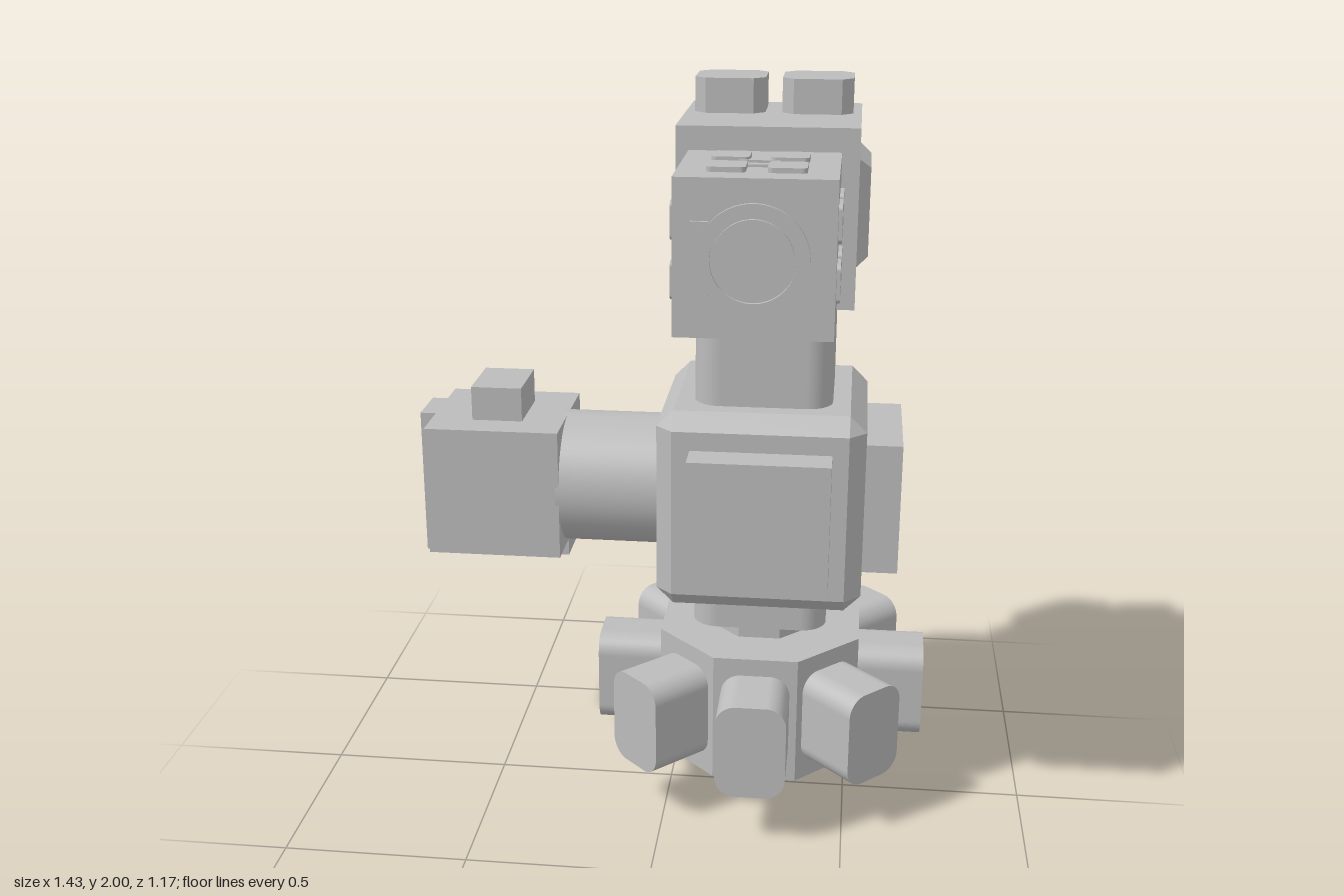
import * as THREE from 'three';
import { ConvexGeometry } from 'three/addons/geometries/ConvexGeometry.js';

const grey = new THREE.MeshStandardMaterial({ color: 0xbcbcbc });
grey.name = 'grey';
const CX = 0.25, CZ = -0.12; // column axis

function add(parent, name, geo, x = 0, y = 0, z = 0) {
  const m = new THREE.Mesh(geo, grey);
  m.name = name;
  m.position.set(x, y, z);
  parent.add(m);
  return m;
}

function pivot(parent, name, x, y, z, rx = 0, ry = 0, rz = 0) {
  const g = new THREE.Group();
  g.name = name;
  g.position.set(x, y, z);
  g.rotation.set(rx, ry, rz);
  parent.add(g);
  return g;
}

// box given by its extents
function block(parent, name, x0, x1, y0, y1, z0, z1) {
  return add(parent, name, new THREE.BoxGeometry(x1 - x0, y1 - y0, z1 - z0),
    (x0 + x1) / 2, (y0 + y1) / 2, (z0 + z1) / 2);
}

// rectangle with rounded (or cut) corners, extruded along +z
function slab(w, h, d, r, round = true) {
  const s = new THREE.Shape(), a = w / 2, b = h / 2;
  [[a, b, 0], [-a, b, 1], [-a, -b, 2], [a, -b, 3]].forEach(([x, y, k]) => {
    const sx = Math.sign(x), sy = Math.sign(y);
    if (round) {
      s.absarc(x - sx * r, y - sy * r, r, k * Math.PI / 2, (k + 1) * Math.PI / 2, false);
    } else {
      const p = [[x, y - sy * r], [x - sx * r, y]];
      if (k % 2) p.reverse();
      p.forEach(([u, v], i) => (k || i ? s.lineTo(u, v) : s.moveTo(u, v)));
    }
  });
  return new THREE.ExtrudeGeometry(s, { depth: d, bevelEnabled: false, curveSegments: 8 });
}

// flat-sided prism along y with a flat side towards +z
function prism(rTop, rBottom, h, n) {
  const g = new THREE.CylinderGeometry(rTop, rBottom, h, n).rotateY(Math.PI / n).toNonIndexed();
  g.computeVertexNormals();
  return g;
}

// tapered window bay rising along y, with a framed pane on each side
function cupola(parent, R, r, h, n) {
  const t = 0.01, c = Math.cos(Math.PI / n), s = Math.sin(Math.PI / n);
  add(parent, 'panes', prism(r - t, R - t, h, n), 0, h / 2, 0);
  const slope = Math.hypot(h, (R - r) * c), e = 0.018;
  const trapezoid = (Path, inset) => {
    const b = R * s - inset * 1.2, a = r * s - inset * 1.2, v = slope / 2 - inset;
    return new Path([[-b, -v], [b, -v], [a, v], [-a, v]].map(p => new THREE.Vector2(...p)));
  };
  const frame = trapezoid(THREE.Shape, 0);
  frame.holes.push(trapezoid(THREE.Path, e));
  const geo = new THREE.ExtrudeGeometry(frame, { depth: t, bevelEnabled: false }).translate(0, 0, -t);
  for (let i = 0; i < n; i++) {
    const side = pivot(parent, 'windowSide', 0, 0, 0, 0, i * 2 * Math.PI / n);
    add(side, 'windowFrame', geo, 0, h / 2, (R + r) * c / 2).rotation.x = -Math.atan2((R - r) * c, h);
  }
  add(parent, 'endCap', prism(r, r, 0.004, n), 0, h - 0.002, 0);
}

export function createModel() {
  const model = new THREE.Group();
  model.name = 'station';

  // base hub with eight radial pods and a window bay below
  const oct = 1 / Math.cos(Math.PI / 8);
  add(model, 'hub', prism(0.28 * oct, 0.28 * oct, 0.37, 8), CX, 0.285, CZ);
  const podGeo = slab(0.19, 0.27, 0.23, 0.055);
  for (let i = 0; i < 8; i++) {
    const arm = pivot(model, 'podMount', CX, 0.285, CZ, 0, i * Math.PI / 4);
    add(arm, 'pod', podGeo, 0, 0, 0.235);
  }
  cupola(pivot(model, 'bottomBay', CX, 0.1, CZ, Math.PI), 0.23 * oct, 0.13 * oct, 0.1, 8);
  add(model, 'neck', prism(0.14 * oct, 0.14 * oct, 0.06, 8), CX, 0.495, CZ);

  // rounded trunk on both sides of the middle node
  const trunk = (y0, y1) => {
    const g = slab(0.37, 0.37, y1 - y0, 0.07).rotateX(-Math.PI / 2);
    add(model, 'trunk', g, CX, y0, CZ);
  };
  trunk(0.52, 0.63);
  trunk(1.15, 1.46);

  // middle node: cube with chamfered edges
  const pts = [], H = 0.278, K = 0.233;
  for (const sx of [-1, 1]) for (const sy of [-1, 1]) for (const sz of [-1, 1])
    for (const [a, b, c] of [[H, K, K], [K, H, K], [K, K, H]])
      pts.push(new THREE.Vector3(a * sx, b * sy, c * sz));
  add(model, 'node', new ConvexGeometry(pts), CX, 0.888, CZ);
  block(model, 'frontHatch', 0.065, 0.44, 0.705, 1.07, 0.15, 0.25);

  // side hatch with a shallow pocket and bars
  const hatch = pivot(model, 'sideHatch', 0.52, 0.888, CZ, 0, Math.PI / 2);
  block(hatch, 'hatchBase', -0.185, 0.185, -0.183, 0.183, 0, 0.088);
  for (const s of [-1, 1]) {
    add(hatch, 'hatchRim', new THREE.BoxGeometry(0.044, 0.366, 0.02), s * 0.163, 0, 0.095);
    add(hatch, 'hatchRim', new THREE.BoxGeometry(0.282, 0.042, 0.02), 0, s * 0.162, 0.095);
  }
  [[-0.142, 0.142, 0.047, 0.068], [-0.064, -0.043, -0.142, 0.142], [0.043, 0.064, -0.142, 0.05],
    [-0.05, 0.05, -0.06, -0.038]].forEach(([x0, x1, y0, y1]) =>
    block(hatch, 'hatchBar', x0, x1, y0, y1, 0.08, 0.104));

  // hexagonal window bay at the back
  const bay = pivot(model, 'backBay', CX, 0.883, -0.39, -Math.PI / 2);
  const turned = pivot(bay, 'backBayBody', 0, 0, 0, 0, Math.PI / 6);
  add(turned, 'bayCollar', prism(0.225, 0.225, 0.055, 6), 0, 0.0275, 0);
  cupola(pivot(turned, 'bayWindows', 0, 0.055, 0), 0.225, 0.155, 0.09, 6);

  // side arm with an end block
  add(model, 'sideArm', new THREE.CylinderGeometry(0.184, 0.184, 0.3, 48).rotateZ(Math.PI / 2), -0.165, 0.888, CZ);
  block(model, 'armBlock', -0.675, -0.305, 0.705, 1.07, -0.307, 0.062);
  block(model, 'armStrap', -0.72, -0.305, 0.655, 1.069, -0.217, -0.077);
  block(model, 'armKnob', -0.56, -0.42, 1.06, 1.165, -0.217, -0.03);

  // head with cut-corner pods on top and back
  block(model, 'head', 0.022, 0.482, 1.45, 1.91, -0.35, 0.11);
  for (const x of [0.138, 0.367]) {
    add(model, 'topPod', slab(0.185, 0.185, 0.1, 0.03, false).rotateX(-Math.PI / 2), x, 1.9, -0.212);
    add(model, 'backPod', slab(0.185, 0.32, 0.1, 0.03, false), x, 1.68, -0.445);
  }
  // raised bevelled side panel
  const panel = [];
  for (const s of [-1, 1]) for (const t of [-1, 1])
    panel.push(new THREE.Vector3(0, s * 0.14, t * 0.14), new THREE.Vector3(0.03, s * 0.115, t * 0.118));
  add(model, 'sidePanel', new ConvexGeometry(panel), 0.481, 1.68, CZ);

  // forward module with studs on four sides
  const round = (r, d) => new THREE.CylinderGeometry(r, r, d, 48).rotateX(Math.PI / 2);
  add(model, 'frontNeck', round(0.14, 0.12), CX, 1.68, 0.157);
  block(model, 'frontModule', 0.065, 0.438, 1.495, 1.865, 0.205, 0.575);
  const stud = slab(0.09, 0.09, 0.02, 0.012);
  for (let k = 0; k < 4; k++) {
    const side = pivot(model, 'studSide', CX, 1.68, 0.39, 0, 0, k * Math.PI / 2);
    const face = pivot(side, 'studFace', 0, 0.177, 0, -Math.PI / 2);
    for (const u of [-0.07, 0.07]) for (const v of [-0.07, 0.07]) add(face, 'stud', stud, u, v, 0);
    if (k % 2 === 0) {
      add(face, 'studLink', new THREE.BoxGeometry(0.1, 0.02, 0.028), 0, 0.03, 0);
      add(face, 'studLink', new THREE.BoxGeometry(0.1, 0.02, 0.028), 0, -0.03, 0);
    }
  }
  // round port with hinge tab
  const ring = new THREE.Shape().absarc(0, 0, 0.13, 0, Math.PI * 2);
  ring.holes.push(new THREE.Path().absarc(0, 0, 0.099, 0, Math.PI * 2, true));
  add(model, 'portRing', new THREE.ExtrudeGeometry(ring, { depth: 0.02, bevelEnabled: false, curveSegments: 32 }), CX, 1.68, 0.565);
  add(model, 'portCover', round(0.094, 0.02), CX, 1.68, 0.574);
  block(model, 'portTab', 0.107, 0.148, 1.595, 1.767, 0.565, 0.584);
  return model;
}
